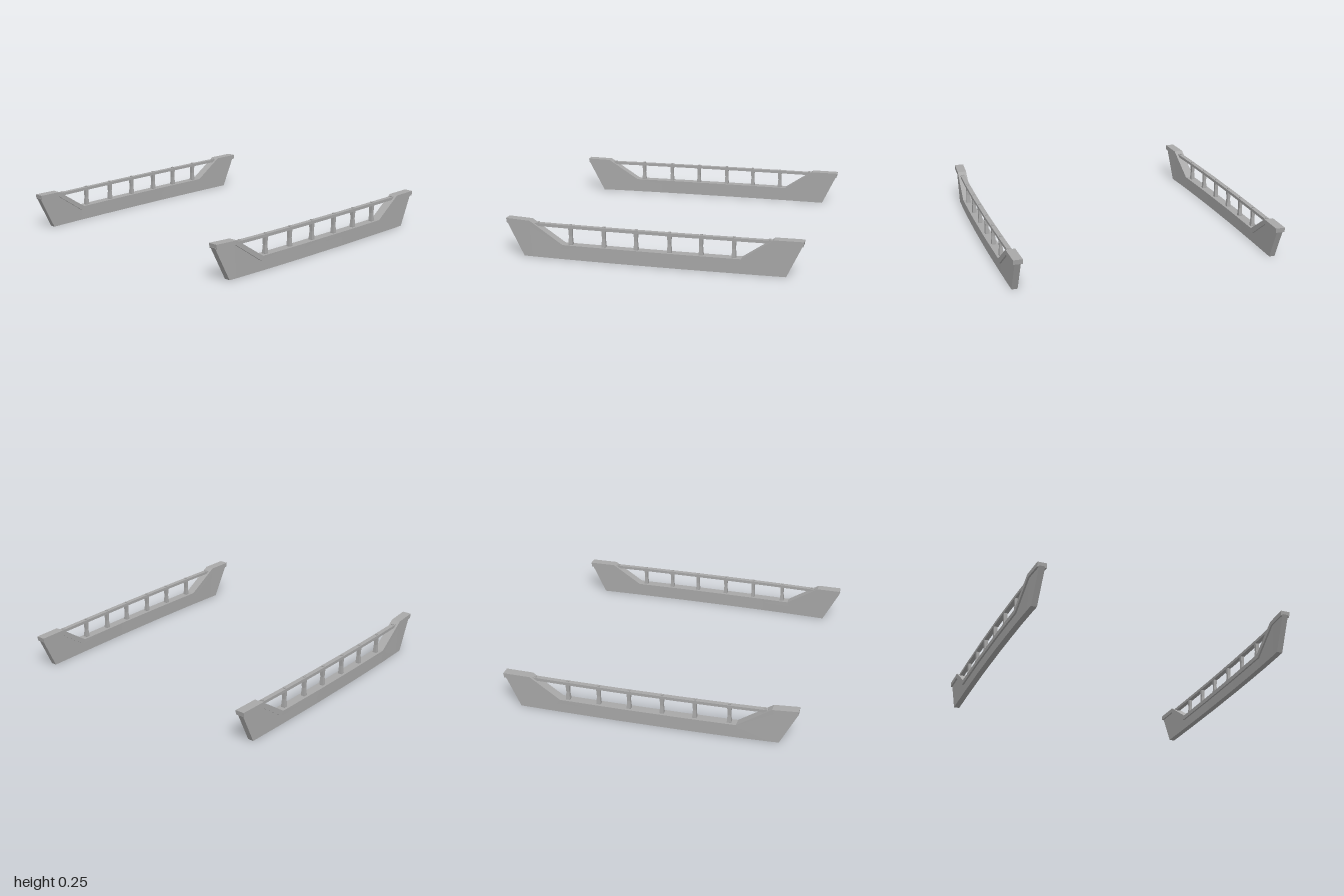
import * as THREE from 'three';

const grey = new THREE.MeshStandardMaterial({ color: 0xa8a8a8, flatShading: true });
grey.name = 'grey';

// Gentle plan curve of the hull side: [z, distance from the centre line]
const plan = [[-1, 0.896], [-0.6, 0.903], [-0.2, 0.906], [0.2, 0.903], [0.55, 0.896], [0.8, 0.886], [1, 0.873]];
function offset(z) {
  for (let i = 1; i < plan.length; i++) {
    const [z0, x0] = plan[i - 1], [z1, x1] = plan[i];
    if (z <= z1 || i === plan.length - 1) return x0 + (x1 - x0) * (z - z0) / (z1 - z0);
  }
}

// Sweeps a rectangular section through stations [bottom z, bottom y, top z, top y], following the plan curve
function sweep(name, stations, width, side) {
  const rings = [];
  const addRing = ([zb, yb, zt, yt]) => {
    const h = width / 2, b = offset(zb), t = offset(zt);
    rings.push([[b - h, yb, zb], [b + h, yb, zb], [t + h, yt, zt], [t - h, yt, zt]]
      .map(([x, y, z]) => [x * side, y, z]));
  };
  stations.forEach((s, i) => {
    const next = stations[i + 1];
    if (!next) return addRing(s);
    const steps = Math.max(1, Math.round(Math.abs(next[0] - s[0]) / 0.2));
    for (let k = 0; k < steps; k++) addRing(s.map((v, j) => v + (next[j] - v) * k / steps));
  });
  const pos = [];
  const quad = (a, b, c, d) => {
    const order = side > 0 ? [a, b, c, a, c, d] : [a, c, b, a, d, c];
    order.forEach((p) => pos.push(...p));
  };
  for (let i = 0; i < rings.length - 1; i++) {
    for (let j = 0; j < 4; j++) {
      const k = (j + 1) % 4;
      quad(rings[i][j], rings[i + 1][j], rings[i + 1][k], rings[i][k]);
    }
  }
  quad(...rings[0]);
  quad(...rings[rings.length - 1].slice().reverse());
  const geo = new THREE.BufferGeometry();
  geo.setAttribute('position', new THREE.Float32BufferAttribute(pos, 3));
  geo.computeVertexNormals();
  const mesh = new THREE.Mesh(geo, grey);
  mesh.name = name;
  return mesh;
}

// Waisted square baluster
const postProfile = [[0.019, 0.09], [0.019, 0.108], [0.014, 0.16], [0.018, 0.218]]
  .map(([r, y]) => new THREE.Vector2(r * 1.05, y));
const postGeo = new THREE.LatheGeometry(postProfile, 4).rotateY(Math.PI / 4);
const pegGeo = new THREE.BoxGeometry(0.016, 0.008, 0.016);

function bulwark(name, side) {
  const g = new THREE.Group();
  g.name = name;
  // Solid wall with raised, raked ends
  g.add(sweep('wall', [
    [0.88, 0, 1, 0.23], [0.82, 0, 0.84, 0.23], [0.61, 0, 0.61, 0.08],
    [-0.61, 0, -0.61, 0.08], [-0.8, 0, -0.82, 0.22], [-0.89, 0, -0.995, 0.22],
  ], 0.04, side));
  // Wider capping that follows the top of the wall
  g.add(sweep('capping', [
    [0.995, 0.222, 1, 0.255], [0.84, 0.222, 0.83, 0.25], [0.615, 0.072, 0.6, 0.102],
    [-0.62, 0.072, -0.6, 0.102], [-0.82, 0.211, -0.81, 0.243], [-0.995, 0.211, -1, 0.243],
  ], 0.064, side));
  // Handrail
  g.add(sweep('handrail', [[0.8, 0.214, 0.8, 0.234], [-0.81, 0.214, -0.81, 0.234]], 0.032, side));
  // Balusters
  for (const z of [0.55, 0.32, 0.1, -0.125, -0.335, -0.55]) {
    const post = new THREE.Mesh(postGeo, grey);
    post.name = 'baluster';
    post.position.set(side * offset(z), 0, z);
    g.add(post);
  }
  // Small pegs on the handrail
  for (const z of [0.78, 0.55, 0.32, 0.1, -0.125, -0.335, -0.55, -0.78]) {
    const peg = new THREE.Mesh(pegGeo, grey);
    peg.name = 'railPeg';
    peg.position.set(side * offset(z), 0.236, z);
    g.add(peg);
  }
  return g;
}

export function createModel() {
  const model = new THREE.Group();
  model.name = 'shipBulwarks';
  model.add(bulwark('leftBulwark', 1), bulwark('rightBulwark', -1));
  return model;
}
